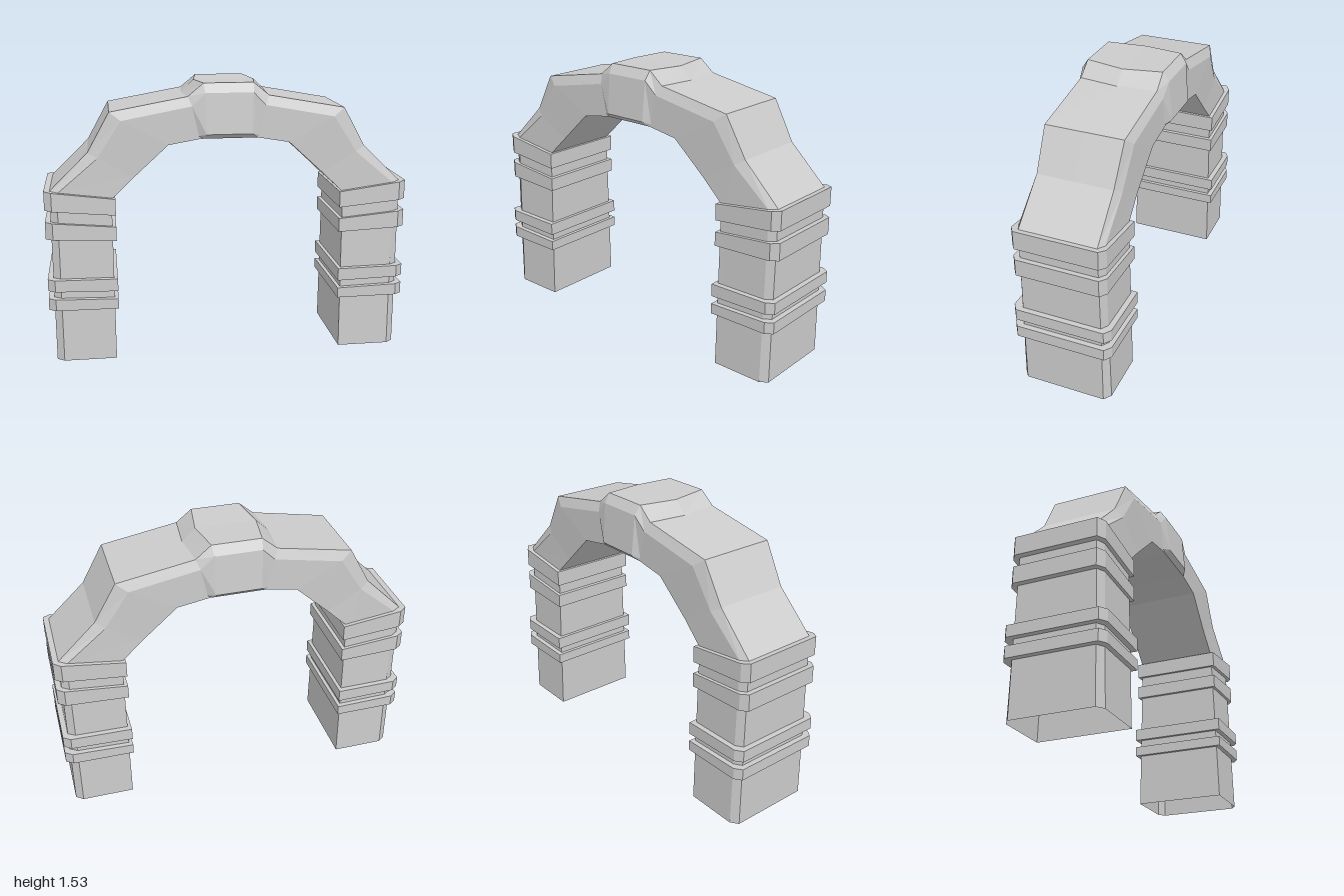
import * as THREE from 'three';

const material = new THREE.MeshStandardMaterial({ color: 0xcccccc, flatShading: true, side: THREE.DoubleSide });

// Skin a list of closed rings (equal point counts) with flat quads.
function loft(rings, name) {
  const pos = [];
  for (let r = 0; r < rings.length - 1; r++) {
    const lo = rings[r], hi = rings[r + 1], n = lo.length;
    for (let i = 0; i < n; i++) {
      const j = (i + 1) % n;
      pos.push(...lo[i], ...lo[j], ...hi[j], ...lo[i], ...hi[j], ...hi[i]);
    }
  }
  const g = new THREE.BufferGeometry();
  g.setAttribute('position', new THREE.Float32BufferAttribute(pos, 3));
  g.computeVertexNormals();
  const mesh = new THREE.Mesh(g, material);
  mesh.name = name;
  return mesh;
}

// Cross-section of the arch: each entry is [x, y, z] on the front half, mirrored to the back.
function archRing({ inner, low, bevel, outer, mid }, side) {
  const front = [inner, low, bevel, outer];
  const ring = [...front, [mid[0], mid[1], 0], ...front.slice().reverse().map(([x, y, z]) => [x, y, -z])];
  return ring.map(([x, y, z]) => [x * side, y, z]);
}

// Plain section: the low point lies on the straight side face.
function section(inner, bevel, outer, zSide, zTop) {
  const low = [inner[0] * 0.9 + bevel[0] * 0.1, inner[1] * 0.9 + bevel[1] * 0.1, zSide];
  return { inner: [...inner, zSide], low, bevel: [...bevel, zSide], outer: [...outer, zTop], mid: outer };
}

// Tilted collar around a leg, with its two outer corners chamfered.
function collar(side, { top, bottom, z }) {
  const outline = (x0, x1, zz, c) =>
    [[x0, zz], [x1 - c, zz], [x1, zz - c * 0.7], [x1, -zz + c * 0.7], [x1 - c, -zz], [x0, -zz]];
  const wide = outline(0.62, 1.0, z, 0.04);
  const tight = outline(0.645, 0.962, z - 0.035, 0.04);
  const ring = (pts, [yIn, yOut]) => {
    const r = pts.map(([x, zz]) => [x * side, yIn + (yOut - yIn) * (x - 0.62) / 0.38, zz]);
    return side < 0 ? r.reverse() : r;
  };
  return loft([ring(tight, bottom), ring(wide, bottom), ring(wide, top), ring(tight, top)], 'legCollar');
}

export function createModel() {
  const model = new THREE.Group();
  model.name = 'archway';

  // Half of the arch, from the ground to the keystone
  const half = [
    section([0.64, 0], [0.93, 0], [0.97, 0], 0.255, 0.225),
    section([0.64, 0.48], [0.93, 0.48], [0.97, 0.48], 0.245, 0.22),
    section([0.64, 0.915], [0.93, 0.955], [0.97, 0.965], 0.235, 0.212),
    section([0.52, 1.03], [0.71, 1.14], [0.76, 1.17], 0.233, 0.208),
    section([0.33, 1.205], [0.58, 1.34], [0.64, 1.385], 0.24, 0.215),
    {
      inner: [0.155, 1.235, 0.24], low: [0.165, 1.25, 0.24], bevel: [0.2, 1.41, 0.24],
      outer: [0.22, 1.46, 0.215], mid: [0.24, 1.457],
    },
    {
      inner: [0.14, 1.235, 0.24], low: [0.125, 1.26, 0.265], bevel: [0.13, 1.48, 0.247],
      outer: [0.135, 1.53, 0.213], mid: [0.168, 1.525],
    },
  ];
  const rings = [
    ...half.map((s) => archRing(s, 1)),
    ...half.slice().reverse().map((s) => archRing(s, -1)),
  ];
  model.add(loft(rings, 'archBody'));

  // Four collars on each leg; heights are [inner edge, outer edge]
  const collars = [
    { top: [0.92, 0.97], bottom: [0.83, 0.865], z: 0.257 },
    { top: [0.765, 0.8], bottom: [0.688, 0.705], z: 0.257 },
    { top: [0.475, 0.48], bottom: [0.405, 0.415], z: 0.275 },
    { top: [0.36, 0.37], bottom: [0.303, 0.305], z: 0.275 },
  ];
  for (const side of [1, -1]) {
    const legTrim = new THREE.Group();
    legTrim.name = side > 0 ? 'leftLegCollars' : 'rightLegCollars';
    for (const c of collars) legTrim.add(collar(side, c));
    model.add(legTrim);
  }
  return model;
}
